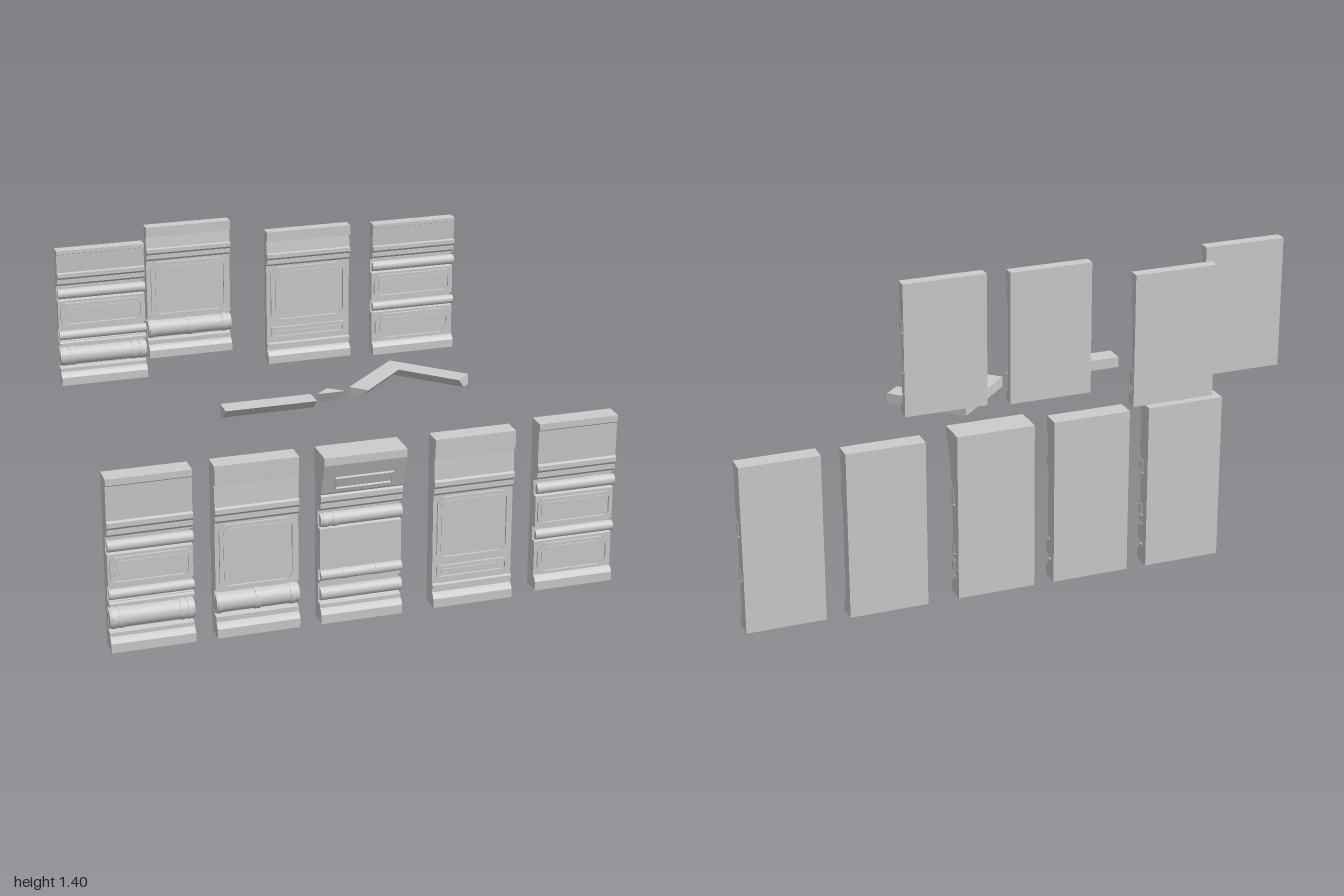
import * as THREE from 'three';

const grey = new THREE.MeshStandardMaterial({ color: 0xcccccc });
grey.name = 'light grey';

function add(parent, name, geometry, x = 0, y = 0, z = 0) {
  const m = new THREE.Mesh(geometry, grey);
  m.name = name;
  m.position.set(x, y, z);
  parent.add(m);
  return m;
}

// Rectangle outline with cut corners
function cutRect(Type, w, h, c) {
  const a = w / 2, b = h / 2;
  return new Type([[-a + c, -b], [a - c, -b], [a, -b + c], [a, b - c],
    [a - c, b], [-a + c, b], [-a, b - c], [-a, -b + c]].map(p => new THREE.Vector2(...p)));
}

// Raised border around a slightly raised field
function framedField(parent, name, w, h, x, y, z, cut = 0.015, rim = 0.01) {
  const g = new THREE.Group();
  g.name = name;
  g.position.set(x, y, z);
  const s = cutRect(THREE.Shape, w, h, cut);
  s.holes.push(cutRect(THREE.Path, w - 2 * rim, h - 2 * rim, cut * 0.8));
  add(g, 'border', new THREE.ExtrudeGeometry(s, { depth: 0.009, bevelEnabled: false }));
  const field = cutRect(THREE.Shape, w - 3.4 * rim, h - 3.4 * rim, cut * 0.7);
  add(g, 'field', new THREE.ExtrudeGeometry(field, { depth: 0.004, bevelEnabled: false }));
  parent.add(g);
  return g;
}

// Half-round horizontal pipe with collars at fractions of its length
function pipe(parent, name, w, r, x, y, z, collars = []) {
  const g = new THREE.Group();
  g.name = name;
  g.position.set(x, y, z);
  const rod = (n, len, rad, px) => {
    const half = new THREE.CylinderGeometry(rad, rad, len, 12, 1, false, -Math.PI / 2, Math.PI);
    add(g, n, half, px).rotation.z = Math.PI / 2;
  };
  rod('rod', w, r, 0);
  for (const f of collars) rod('collar', 0.018, r * 1.08, (f - 0.5) * w);
  parent.add(g);
}

// Cross-section pieces: [height, offset from the front plane], bottom to top
const base = [[0, 0], [0.035, 0], [0.05, -0.01], [0.055, -0.02]];
const cornice = [[0.445, -0.02], [0.455, -0.011], [0.475, -0.011], [0.485, -0.002], [0.503, -0.002], [0.508, -0.012]];
const plainTop = [[0.64, -0.009], [0.645, -0.003], [0.67, -0.003]];
const cappedTop = [[0.592, -0.016], [0.598, -0.003], [0.67, -0.003]];
const hoodTop = [[0.515, -0.005], [0.64, 0.042], [0.67, 0.042]];
const groove = (a, b) => [[a, -0.02], [a + 0.004, -0.045], [b - 0.004, -0.045], [b, -0.02]];
const ledge = (a, b) => [[a, -0.02], [a + 0.004, -0.01], [b - 0.004, -0.01], [b, -0.02]];

const sections = {
  pipes: [...base, ...groove(0.07, 0.175), ...ledge(0.175, 0.192), ...groove(0.195, 0.25),
    ...groove(0.375, 0.44), ...cornice, ...plainTop],
  windowPipe: [...base, ...groove(0.075, 0.178), ...cornice, ...cappedTop],
  windowField: [...base, ...ledge(0.07, 0.09), ...cornice, ...cappedTop],
  fields: [...base, ...groove(0.192, 0.25), ...groove(0.375, 0.44), ...cornice, ...plainTop],
  hood: [...base, ...groove(0.07, 0.155), ...groove(0.165, 0.21), ...groove(0.37, 0.44),
    ...cornice, ...hoodTop],
};

function wallPanel(parent, kind, x0, x1, back, front, upper, lift = 0) {
  const g = new THREE.Group();
  g.name = kind + 'WallPanel';
  const w = x1 - x0, x = (x0 + x1) / 2;
  const k = upper ? 0.82 : 1;
  // Upper panels are shorter, mostly in the top band
  const Y = y => upper ? 0.905 + 0.82 * Math.min(y, 0.5) + 0.5 * Math.max(y - 0.5, 0) : y + lift;
  const Z = o => Math.max(front + o, back + 0.006);

  // Wall body swept across the width
  const pts = sections[kind].map(([y, o]) => new THREE.Vector2(Z(o), Y(y)));
  pts.unshift(new THREE.Vector2(back, Y(0)));
  pts.push(new THREE.Vector2(back, Y(0.67)));
  const body = new THREE.ExtrudeGeometry(new THREE.Shape(pts), { depth: w, bevelEnabled: false });
  add(g, 'wallBody', body.rotateY(-Math.PI / 2), x1);

  const face = Z(-0.02);
  const field = (name, a, b, margin, cut) =>
    framedField(g, name, w - margin, Y(b) - Y(a), x, Y((a + b) / 2), face, cut);
  const rod = (name, y, r, collars) => pipe(g, name, w, r * k, x, Y(y), front - r * k - 0.002, collars);

  if (kind === 'pipes' || kind === 'fields') {
    field('middleField', 0.26, 0.365, 0.016);
    rod('upperPipe', 0.408, 0.022);
    rod('middlePipe', 0.222, 0.02);
  }
  if (kind === 'pipes') rod('lowerPipe', 0.122, 0.038, [0.05, 0.14, 0.86, 0.95]);
  if (kind === 'fields') field('lowerField', 0.06, 0.183, 0.025, 0.028);
  if (kind.startsWith('window')) field('largeField', 0.187, 0.437, 0.03, 0.022);
  if (kind === 'windowPipe') rod('lowerPipe', 0.126, 0.038, [0.04, 0.5, 0.92]);
  if (kind === 'windowField') field('smallField', 0.108, 0.162, 0.03, 0.008);
  if (kind === 'hood') {
    rod('upperPipe', 0.405, 0.026, [0.06, 0.18]);
    rod('middlePipe', 0.187, 0.02, [0.3, 0.7]);
    rod('lowerPipe', 0.112, 0.025);
    const sunk = framedField(g, 'hoodField', 0.22, 0.055, x, 0.56, front + 0.013, 0.002, 0.006);
    sunk.rotation.x = Math.atan(0.047 / 0.125);
  }
  parent.add(g);
}

// Trim with a flat top outline tapering to a smaller bottom outline
function trim(parent, name, top, bottom, yTop = 0.885, yBottom = 0.845) {
  const pos = [], n = top.length;
  const v = (p, y) => [p[0], y, p[1]];
  const flat = outline => outline.map(p => new THREE.Vector2(p[0], -p[1]));
  for (let i = 0; i < n; i++) {
    const j = (i + 1) % n;
    const a = v(bottom[i], yBottom), b = v(bottom[j], yBottom), c = v(top[j], yTop), d = v(top[i], yTop);
    pos.push(...a, ...b, ...c, ...a, ...c, ...d);
  }
  for (const [a, b, c] of THREE.ShapeUtils.triangulateShape(flat(top), [])) {
    pos.push(...v(top[a], yTop), ...v(top[b], yTop), ...v(top[c], yTop));
    pos.push(...v(bottom[a], yBottom), ...v(bottom[c], yBottom), ...v(bottom[b], yBottom));
  }
  const geo = new THREE.BufferGeometry();
  geo.setAttribute('position', new THREE.Float32BufferAttribute(pos, 3));
  geo.computeVertexNormals();
  add(parent, name, geo);
}

export function createModel() {
  const model = new THREE.Group();
  model.name = 'wallPanelKit';

  // Lower row of tall panels
  wallPanel(model, 'pipes', -0.928, -0.618, 0.178, 0.258, false);
  wallPanel(model, 'windowPipe', -0.538, -0.228, 0.178, 0.258, false);
  wallPanel(model, 'hood', -0.148, 0.162, 0.18, 0.26, false);
  wallPanel(model, 'windowField', 0.286, 0.596, 0.18, 0.256, false);
  wallPanel(model, 'fields', 0.69, 1.0, 0.178, 0.254, false, 0.012);

  // Upper row of short panels
  wallPanel(model, 'pipes', -1.0, -0.69, -0.122, -0.076, true);
  wallPanel(model, 'windowPipe', -0.64, -0.33, -0.307, -0.262, true);
  wallPanel(model, 'windowField', -0.243, 0.067, -0.122, -0.076, true);
  wallPanel(model, 'fields', 0.147, 0.457, -0.1, -0.053, true);

  // Loose trims, outlines run counter-clockwise from above
  trim(model, 'straightTrim',
    [[-0.5, 0.285], [-0.17, 0.285], [-0.17, 0.21], [-0.5, 0.21]],
    [[-0.5, 0.24], [-0.17, 0.24], [-0.17, 0.21], [-0.5, 0.21]]);
  trim(model, 'cornerTrim',
    [[-0.15, 0.22], [-0.045, 0.22], [-0.0975, 0.172]],
    [[-0.125, 0.198], [-0.07, 0.198], [-0.0975, 0.172]]);
  trim(model, 'angledTrim',
    [[0.205, -0.033], [-0.02, 0.185], [0.035, 0.237], [0.205, 0.07], [0.375, 0.237], [0.43, 0.185]],
    [[0.205, -0.033], [-0.02, 0.185], [0.004, 0.208], [0.205, 0.014], [0.406, 0.208], [0.43, 0.185]]);
  return model;
}
